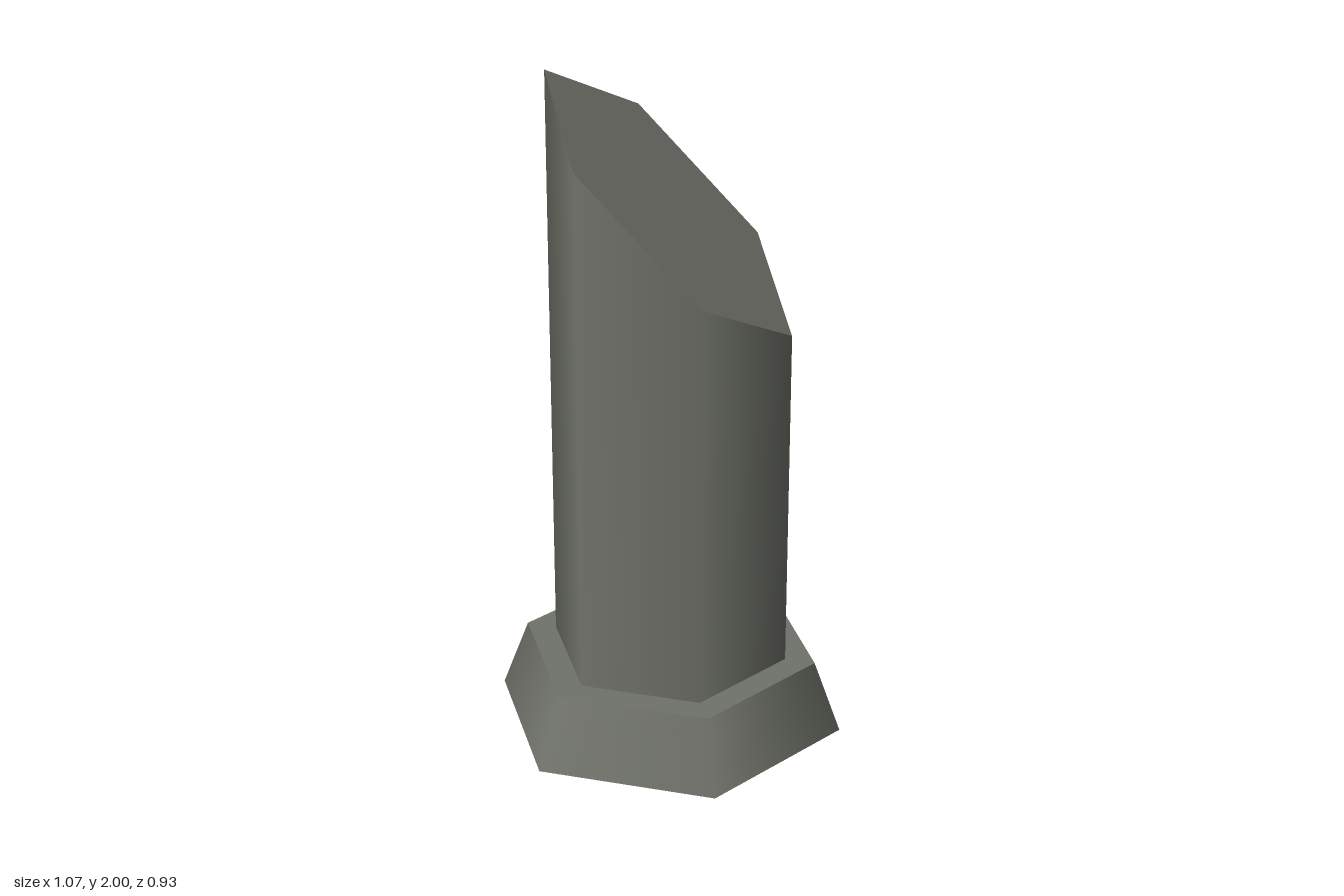
import * as THREE from 'three';

export function createModel() {
  const group = new THREE.Group();
  const stone = new THREE.MeshStandardMaterial({ color: 0x70736a, side: THREE.DoubleSide });
  stone.name = 'greenGrey';

  const add = (name, geometry, y) => {
    const mesh = new THREE.Mesh(geometry, stone);
    mesh.name = name;
    mesh.position.y = y;
    group.add(mesh);
  };

  const baseHeight = 0.22, baseTop = 0.453, baseBottom = 0.535;
  const radius = 0.362, start = Math.PI / 2; // corners point along x

  // Flared hexagonal base, hollow underneath
  add('baseSkirt', new THREE.CylinderGeometry(baseTop, baseBottom, baseHeight, 6, 1, true, start), baseHeight / 2);
  add('baseTop', new THREE.CircleGeometry(baseTop, 6).rotateX(-Math.PI / 2), baseHeight);

  // Hexagonal column, its top sheared to a 45 degree slope falling towards +x
  const middle = 2 - radius;
  const height = middle - baseHeight;
  const column = new THREE.CylinderGeometry(radius, radius, height, 6, 1, true, start);
  const cap = new THREE.CircleGeometry(radius, 6).rotateX(-Math.PI / 2);
  const p = column.attributes.position;
  for (let i = 0; i < p.count; i++) {
    if (p.getY(i) > 0) p.setY(i, p.getY(i) - p.getX(i));
  }
  const c = cap.attributes.position;
  for (let i = 0; i < c.count; i++) c.setY(i, -c.getX(i));
  cap.computeVertexNormals();
  add('column', column, baseHeight + height / 2);
  add('slopedTop', cap, middle);

  return group;
}
